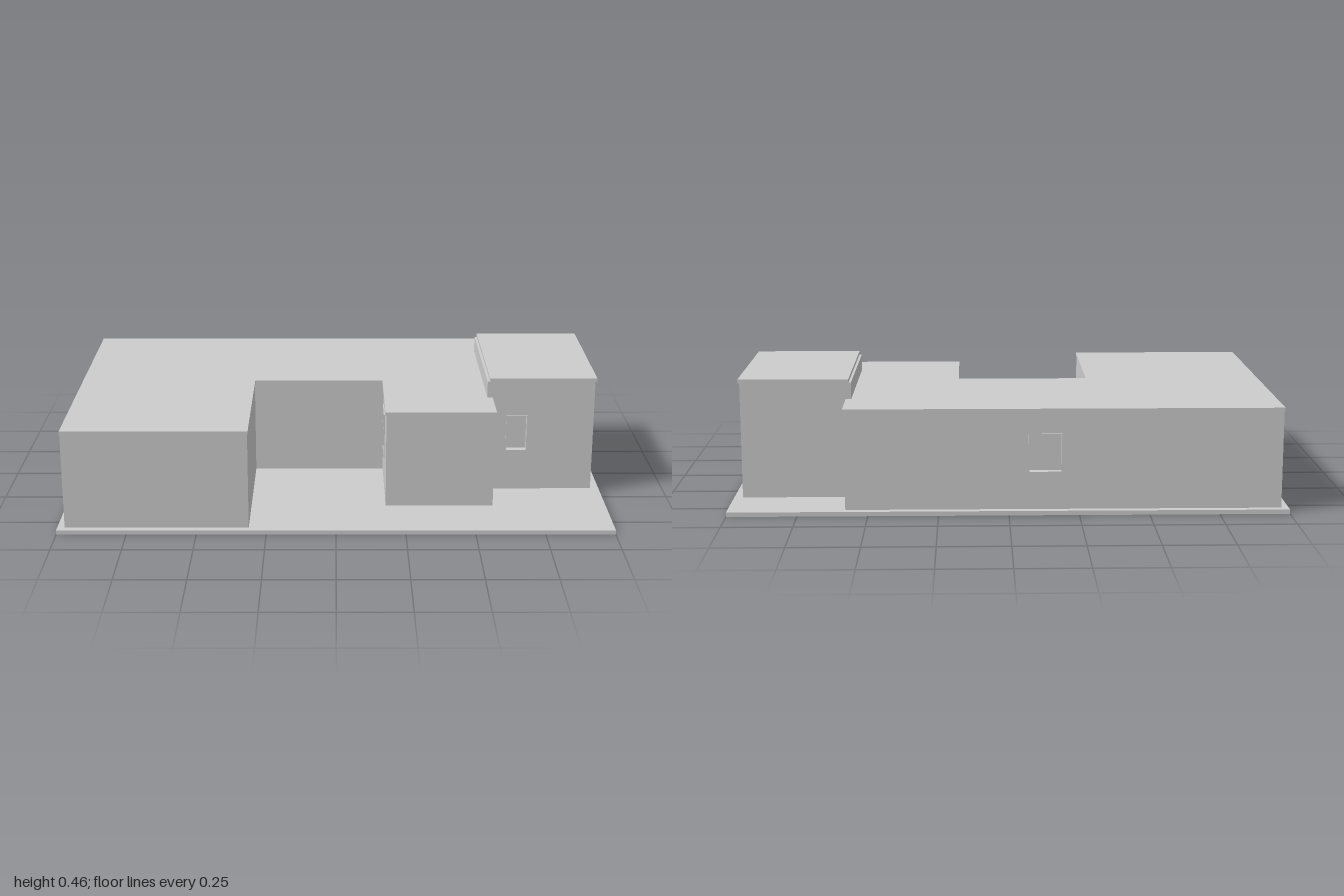
import * as THREE from 'three';

const BASE = 0.016, WALL = 0.03, CAP = 0.013;

export function createModel() {
  const grey = new THREE.MeshStandardMaterial({ color: 0xcccccc });
  grey.name = 'plaster grey';

  const add = (parent, geometry, name) => {
    const mesh = new THREE.Mesh(geometry, grey);
    mesh.name = name;
    parent.add(mesh);
    return mesh;
  };
  const extrude = (shape, depth) => new THREE.ExtrudeGeometry(shape, { depth, bevelEnabled: false });
  const rect = (Kind, x0, y0, x1, y1) => new Kind([[x0, y0], [x1, y0], [x1, y1], [x0, y1]]
    .map(([x, y]) => new THREE.Vector2(x, y)));

  // One wall from a to b (x, z), its outside facing local +z, with an optional window
  function wall(a, b, top, win) {
    const g = new THREE.Group();
    g.name = 'wall';
    const dx = b[0] - a[0], dz = b[1] - a[1];
    const shape = rect(THREE.Shape, 0, BASE, Math.hypot(dx, dz), top);
    if (win) shape.holes.push(rect(THREE.Path, ...win));
    add(g, extrude(shape, WALL).translate(0, 0, -WALL), 'wallPanel');
    if (win) {
      const [x0, y0, x1, y1] = win, f = 0.003;
      // Thin sleeve standing slightly proud of the wall
      const ring = rect(THREE.Shape, x0, y0, x1, y1);
      ring.holes.push(rect(THREE.Path, x0 + f, y0 + f, x1 - f, y1 - f));
      add(g, extrude(ring, 0.024).translate(0, 0, -0.02), 'windowFrame');
      // Recessed pane
      add(g, new THREE.BoxGeometry(x1 - x0, y1 - y0, 0.006)
        .translate((x0 + x1) / 2, (y0 + y1) / 2, -0.023), 'windowPane');
    }
    g.position.set(a[0], 0, a[1]);
    g.rotation.y = Math.atan2(-dz, dx);
    return g;
  }

  // Ring of walls closed by a flat roof slab
  function building(name, walls, roof, top, windows) {
    const g = new THREE.Group();
    g.name = name;
    walls.forEach((p, i) => g.add(wall(p, walls[(i + 1) % walls.length], top - CAP, windows[i])));
    const outline = new THREE.Shape(roof.map(([x, z]) => new THREE.Vector2(x, -z)));
    add(g, extrude(outline, CAP).rotateX(-Math.PI / 2).translate(0, top - CAP, 0), 'roofSlab');
    return g;
  }

  const model = new THREE.Group();
  model.name = 'house';
  add(model, new THREE.BoxGeometry(2, BASE, 1.23).translate(0, BASE / 2, 0), 'basePlate');

  // U-shaped main house around a front courtyard
  model.add(building('mainHouse',
    [[-0.973, 0.588], [-0.313, 0.588], [-0.313, -0.012], [0.184, -0.012],
      [0.184, 0.375], [0.581, 0.375], [0.581, -0.588], [-0.973, -0.588]],
    [[-0.975, 0.589], [-0.311, 0.589], [-0.311, -0.007], [0.18, -0.007],
      [0.18, 0.38], [0.586, 0.38], [0.586, -0.593], [-0.975, -0.593]],
    0.381,
    { 3: [0.082, 0.14, 0.212, 0.31], 6: [0.651, 0.15, 0.771, 0.29] }));

  // Taller block at the side
  model.add(building('tallBlock',
    [[0.566, 0.202], [0.968, 0.202], [0.968, -0.405], [0.566, -0.405]],
    [[0.575, 0.206], [0.974, 0.206], [0.974, -0.411], [0.575, -0.411]],
    0.455,
    { 0: [0.074, 0.17, 0.154, 0.31] }));

  return model;
}
